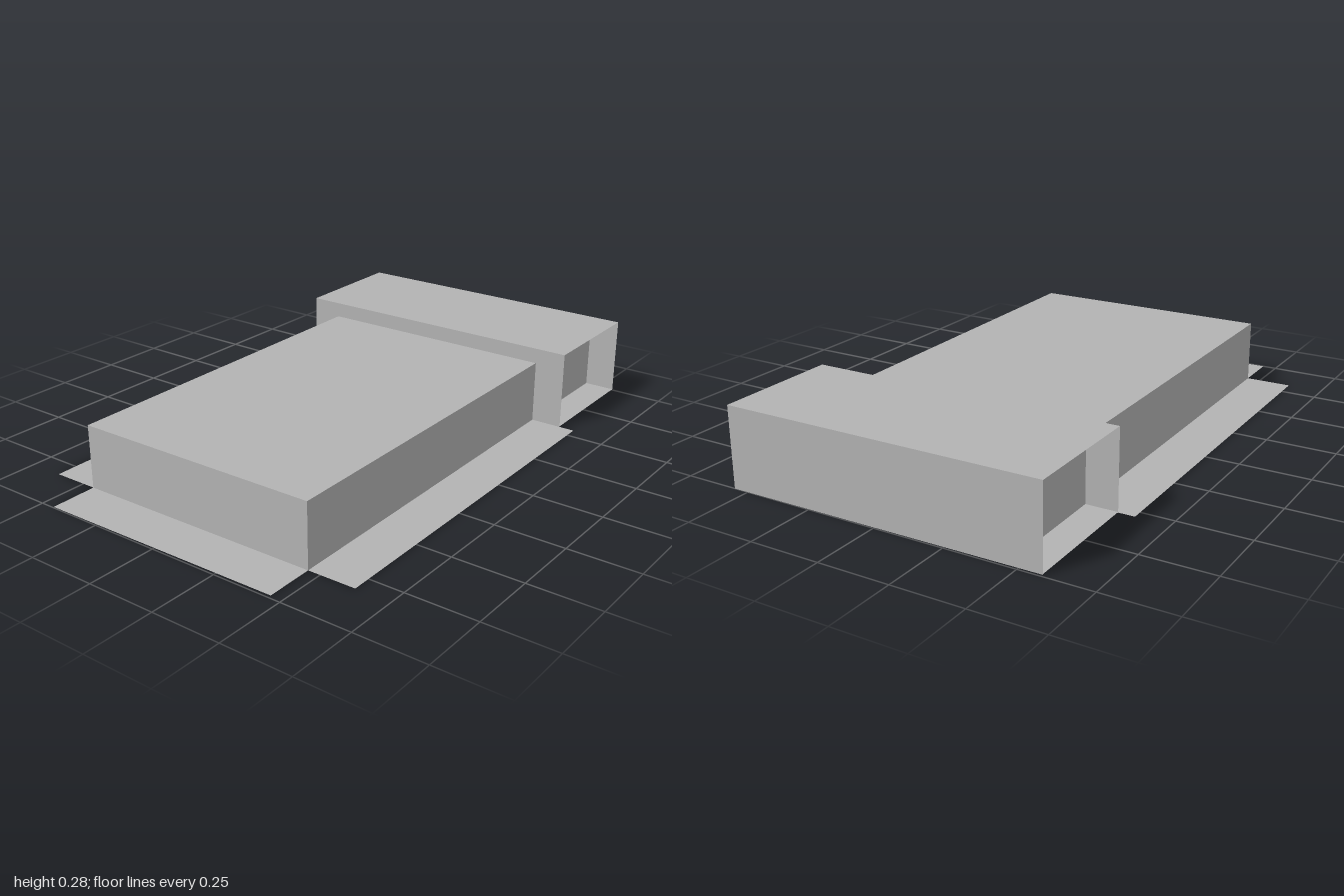
import * as THREE from 'three';

export function createModel() {
  const model = new THREE.Group();
  const card = new THREE.MeshStandardMaterial({ color: 0xb2b2b2, side: THREE.DoubleSide });
  card.name = 'grey card';

  // Half widths, heights and the stations along z
  const BOX_W = 0.4535, REAR_W = 0.567, SHEET_W = 0.624;
  const BOX_H = 0.228, REAR_H = 0.284;
  const Z_REAR = -0.9955, Z_STEP = -0.543, Z_FRONT = 0.822, Z_TIP = 0.993;

  function addBlock(name, halfWidth, height, z0, z1) {
    const geometry = new THREE.BoxGeometry(halfWidth * 2, height, z1 - z0);
    const mesh = new THREE.Mesh(geometry, card);
    mesh.name = name;
    mesh.position.set(0, height / 2, (z0 + z1) / 2);
    model.add(mesh);
  }

  // Flat panel lying level at height y
  function addLevelPanel(name, x0, x1, z0, z1, y) {
    const geometry = new THREE.PlaneGeometry(x1 - x0, z1 - z0).rotateX(-Math.PI / 2);
    const mesh = new THREE.Mesh(geometry, card);
    mesh.name = name;
    mesh.position.set((x0 + x1) / 2, y, (z0 + z1) / 2);
    model.add(mesh);
  }

  // Upright panel across x; turn faces it backwards
  function addUprightPanel(name, x0, x1, height, z, turn = 0) {
    const geometry = new THREE.PlaneGeometry(x1 - x0, height).rotateY(turn);
    const mesh = new THREE.Mesh(geometry, card);
    mesh.name = name;
    mesh.position.set((x0 + x1) / 2, height / 2, z);
    model.add(mesh);
  }

  // Long low front box and the taller rear block
  addBlock('frontBox', BOX_W, BOX_H, Z_STEP, Z_FRONT);
  addBlock('rearBlock', BOX_W, REAR_H, Z_REAR, Z_STEP);

  // Ground flap in front
  addLevelPanel('frontFlap', -BOX_W, BOX_W, Z_FRONT, Z_TIP, 0.001);

  for (const [side, s] of [['left', 1], ['right', -1]]) {
    const span = (outer) => [Math.min(s * BOX_W, s * outer), Math.max(s * BOX_W, s * outer)];
    // Ground flap beside the front box
    addLevelPanel(side + 'Flap', ...span(SHEET_W), Z_STEP, Z_FRONT, 0.001);
    // Open-ended sleeve on each end of the rear block
    addLevelPanel(side + 'SleeveTop', ...span(REAR_W), Z_REAR, Z_STEP, REAR_H);
    addLevelPanel(side + 'SleeveFloor', ...span(REAR_W), Z_REAR, Z_STEP, 0.003);
    addUprightPanel(side + 'SleeveFront', ...span(REAR_W), REAR_H, Z_STEP);
    addUprightPanel(side + 'SleeveBack', ...span(REAR_W), REAR_H, Z_REAR, Math.PI);
  }

  // Slight skew of the whole piece
  model.rotation.y = 0.0087;
  model.position.x = -0.004;
  const root = new THREE.Group();
  root.name = 'foldedCardModel';
  model.name = 'foldedCard';
  root.add(model);
  return root;
}
